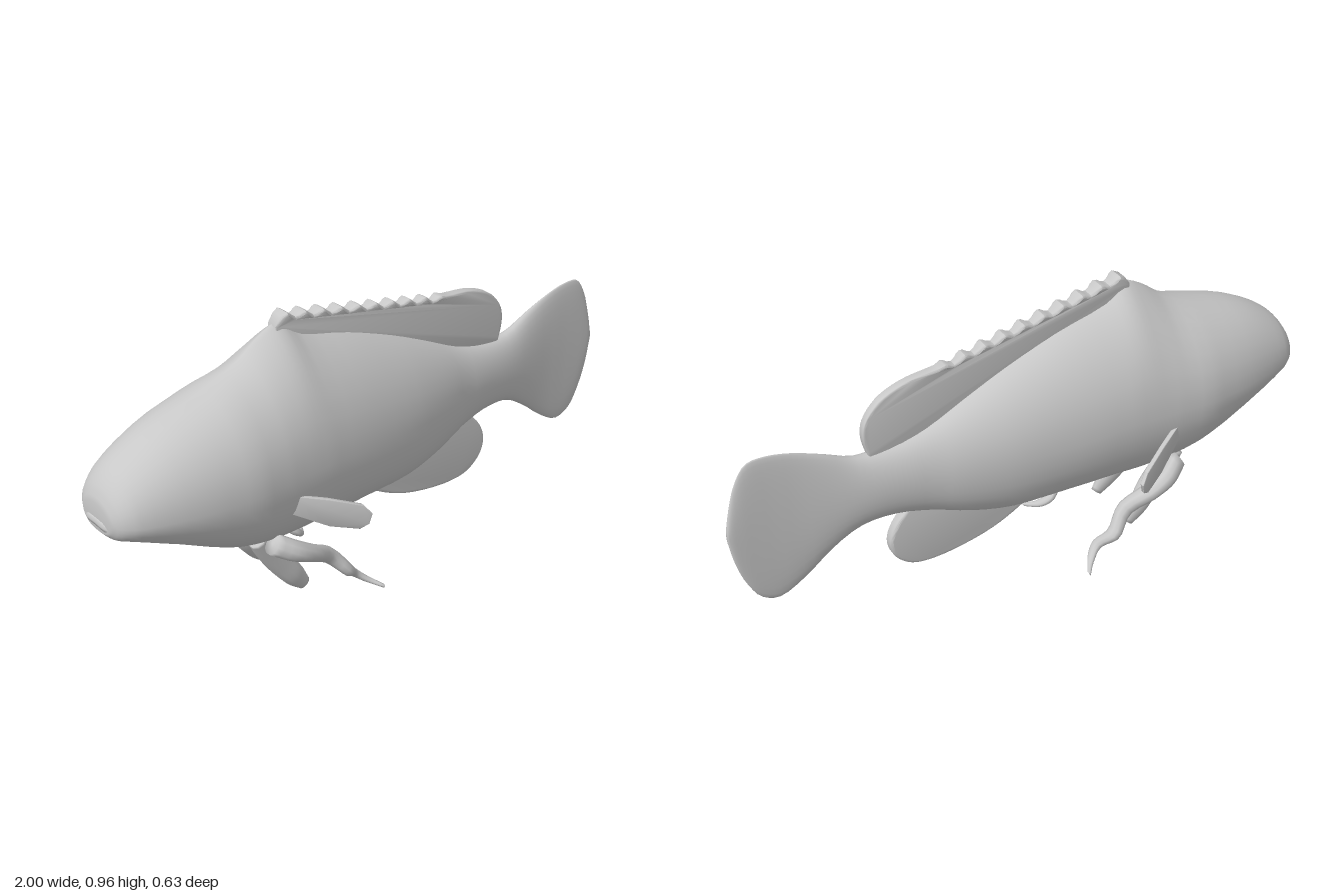
import * as THREE from 'three';
import { toCreasedNormals } from 'three/addons/utils/BufferGeometryUtils.js';

const clay = new THREE.MeshStandardMaterial({ color: 0xc8c8c8 });
clay.name = 'pale grey';

// Smooth skin over rings of equal point count, closed at both ends
function skin(rings) {
  const middle = r => r.reduce((s, p) => s.add(p), new THREE.Vector3()).divideScalar(r.length);
  const cap = r => { const m = middle(r); return r.map(() => m); };
  const all = [cap(rings[0]), ...rings, cap(rings[rings.length - 1])];
  const n = rings[0].length, index = [];
  for (let i = 0; i < all.length - 1; i++) {
    for (let j = 0; j < n; j++) {
      const k = (j + 1) % n;
      const a = i * n + j, b = a + n, c = i * n + k, d = c + n;
      if (i > 0) index.push(a, b, c);
      else index.push(a, b, d);
      if (i > 0 && i < all.length - 2) index.push(c, b, d);
    }
  }
  const g = new THREE.BufferGeometry().setFromPoints(all.flat());
  g.setIndex(index);
  g.computeVertexNormals();
  return g;
}

// Flat fin cut from an outline, rounded at the rim, centred on z = 0
function finPlate(points, half, bevel) {
  const shape = new THREE.Shape(points.map(p => new THREE.Vector2(...p)));
  const g = new THREE.ExtrudeGeometry(shape, {
    depth: 2 * (half - bevel), bevelEnabled: true, bevelThickness: bevel,
    bevelSize: bevel, bevelOffset: -bevel, bevelSegments: 3,
  });
  return g.translate(0, 0, -(half - bevel));
}

function moveZ(g, rule) {
  const p = g.attributes.position;
  for (let i = 0; i < p.count; i++) p.setZ(i, rule(p.getX(i), p.getY(i), p.getZ(i)));
  return toCreasedNormals(g, 0.7);
}

function smoothOutline(points, count) {
  const c = new THREE.CatmullRomCurve3(points.map(([x, y]) => new THREE.Vector3(x, y, 0)));
  return c.getPoints(count).map(v => [v.x, v.y]);
}

function bodyGeometry() {
  // x, bottom, top, height of widest point, half width, sharpness of the back
  const rows = [
    [-0.995, 0.485, 0.575, 0.53, 0.07, 1], [-0.975, 0.465, 0.62, 0.53, 0.108, 1],
    [-0.93, 0.45, 0.67, 0.53, 0.142, 1], [-0.8, 0.39, 0.745, 0.53, 0.184, 1],
    [-0.62, 0.3, 0.805, 0.53, 0.216, 1.1], [-0.5, 0.265, 0.852, 0.53, 0.216, 1.4],
    [-0.42, 0.257, 0.908, 0.53, 0.211, 1.65], [-0.35, 0.255, 0.935, 0.53, 0.207, 1.7],
    [-0.28, 0.257, 0.892, 0.53, 0.202, 1.5], [-0.1, 0.258, 0.835, 0.51, 0.184, 1.3],
    [0.08, 0.257, 0.765, 0.5, 0.158, 1.2], [0.22, 0.285, 0.7, 0.49, 0.125, 1.1],
    [0.35, 0.33, 0.638, 0.48, 0.086, 1], [0.47, 0.358, 0.607, 0.48, 0.065, 1],
    [0.58, 0.353, 0.604, 0.47, 0.05, 1], [0.68, 0.298, 0.648, 0.46, 0.036, 1],
    [0.78, 0.219, 0.688, 0.45, 0.023, 1], [0.86, 0.179, 0.705, 0.45, 0.017, 1],
    [0.915, 0.201, 0.701, 0.45, 0.015, 1], [0.955, 0.264, 0.652, 0.45, 0.014, 1],
    [0.985, 0.352, 0.56, 0.46, 0.012, 1], [1, 0.44, 0.49, 0.465, 0.008, 1],
  ];
  const outline = new THREE.CatmullRomCurve3(rows.map(r => new THREE.Vector3(r[0], r[1], r[2])));
  const section = new THREE.CatmullRomCurve3(rows.map(r => new THREE.Vector3(r[3], r[4], r[5])));
  const rings = [], steps = (rows.length - 1) * 3, sides = 32;
  for (let i = 0; i <= steps; i++) {
    const { x, y: bottom, z: top } = outline.getPoint(i / steps);
    const { x: mid, y: half, z: sharp } = section.getPoint(i / steps);
    rings.push(Array.from({ length: sides }, (_, j) => {
      const a = (j / sides) * Math.PI * 2, s = Math.sin(a), c = Math.cos(a);
      const y = mid + s * (s > 0 ? top - mid : mid - bottom);
      return new THREE.Vector3(x, y, 0.004 + half * Math.sign(c) * Math.abs(c) ** (s > 0 ? sharp : 0.75));
    }));
  }
  return skin(rings);
}

// Trailing strand: stations are x, y, z, half thickness, half width
function strandGeometry(stations, side) {
  const path = new THREE.CatmullRomCurve3(stations.map(s => new THREE.Vector3(s[0], s[1], s[2] * side)));
  const size = new THREE.CatmullRomCurve3(stations.map((s, i) => new THREE.Vector3(s[3], s[4], i * 0.05)));
  const rings = [], steps = 24;
  for (let i = 0; i <= steps; i++) {
    const c = path.getPoint(i / steps), t = path.getTangent(i / steps), r = size.getPoint(i / steps);
    const across = new THREE.Vector3(-t.y, t.x, 0).normalize();
    rings.push(Array.from({ length: 10 }, (_, j) => {
      const a = (j / 10) * Math.PI * 2;
      const p = c.clone().addScaledVector(across, r.x * Math.sin(a));
      p.z += r.y * Math.cos(a);
      return p;
    }));
  }
  return skin(rings);
}

export function createModel() {
  const fish = new THREE.Group();
  fish.name = 'fish';
  const add = (name, geometry) => {
    const mesh = new THREE.Mesh(geometry, clay);
    mesh.name = name;
    fish.add(mesh);
  };

  add('bodyAndTail', bodyGeometry());

  // Lower lip
  const lip = new THREE.CatmullRomCurve3([
    [-0.9, 0.5, 0.125], [-0.955, 0.505, 0.1], [-0.982, 0.51, 0.05],
    [-0.984, 0.512, 0], [-0.982, 0.51, -0.045], [-0.955, 0.505, -0.092], [-0.9, 0.5, -0.117],
  ].map(p => new THREE.Vector3(...p)));
  add('lowerLip', new THREE.TubeGeometry(lip, 24, 0.017, 8));

  // Dorsal fin: scalloped spines, then a rounded soft lobe
  const crest = [[-0.37, 0.82], [-0.37, 0.93], [-0.35, 0.957]];
  for (let i = 0; i <= 54; i++) {
    const u = i / 54;
    crest.push([-0.33 + 0.61 * u, 0.957 - 0.13 * u + 0.009 * Math.cos(u * Math.PI * 18)]);
  }
  const lobe = smoothOutline([[0.3, 0.828], [0.42, 0.812], [0.5, 0.775], [0.548, 0.715],
    [0.556, 0.66], [0.54, 0.59]], 20);
  const dorsal = [...crest, ...lobe, [0.3, 0.57], [0, 0.68]];
  add('dorsalFin', moveZ(finPlate(dorsal, 0.025, 0.008), (x, y, z) => {
    const ripple = x < 0.28 ? 0.15 * Math.cos((x + 0.33) / 0.61 * Math.PI * 18) : 0;
    return 0.004 + z * (1.05 - 0.5 * (x + 0.37) + ripple);
  }));

  // Anal fin
  const anal = smoothOutline([[-0.06, 0.27], [0, 0.225], [0.1, 0.172], [0.2, 0.142], [0.34, 0.125],
    [0.42, 0.138], [0.475, 0.185], [0.49, 0.24], [0.47, 0.3], [0.41, 0.37]], 36);
  add('analFin', moveZ(finPlate([...anal, [0.2, 0.36]], 0.02, 0.009), (x, y, z) => 0.004 + z));

  // Paired fins
  const pectoral = [[-0.475, 0.42], [-0.458, 0.475], [-0.36, 0.45], [-0.27, 0.418], [-0.246, 0.385],
    [-0.255, 0.35], [-0.28, 0.335], [-0.36, 0.355]];
  const outerStrand = [[-0.5, 0.3, 0.15, 0.035, 0.03], [-0.44, 0.265, 0.178, 0.033, 0.035],
    [-0.37, 0.225, 0.178, 0.027, 0.034], [-0.29, 0.17, 0.155, 0.026, 0.027],
    [-0.235, 0.105, 0.178, 0.02, 0.027], [-0.19, 0.06, 0.15, 0.014, 0.02],
    [-0.155, 0.03, 0.17, 0.01, 0.018], [-0.12, 0.011, 0.215, 0.006, 0.01]];
  const innerStrand = [[-0.52, 0.3, 0.1, 0.03, 0.03], [-0.48, 0.24, 0.09, 0.036, 0.036],
    [-0.43, 0.17, 0.088, 0.04, 0.036], [-0.385, 0.11, 0.095, 0.037, 0.028],
    [-0.345, 0.06, 0.097, 0.022, 0.015]];
  for (const side of [1, -1]) {
    const label = side > 0 ? 'left' : 'right';
    add(label + 'PectoralFin', moveZ(finPlate(pectoral, 0.009, 0.003),
      (x, y, z) => z + side * (0.19 + 0.55 * (x + 0.46))));
    add(label + 'OuterPelvicFin', strandGeometry(outerStrand, side));
    add(label + 'InnerPelvicFin', strandGeometry(innerStrand, side));
  }
  return fish;
}
